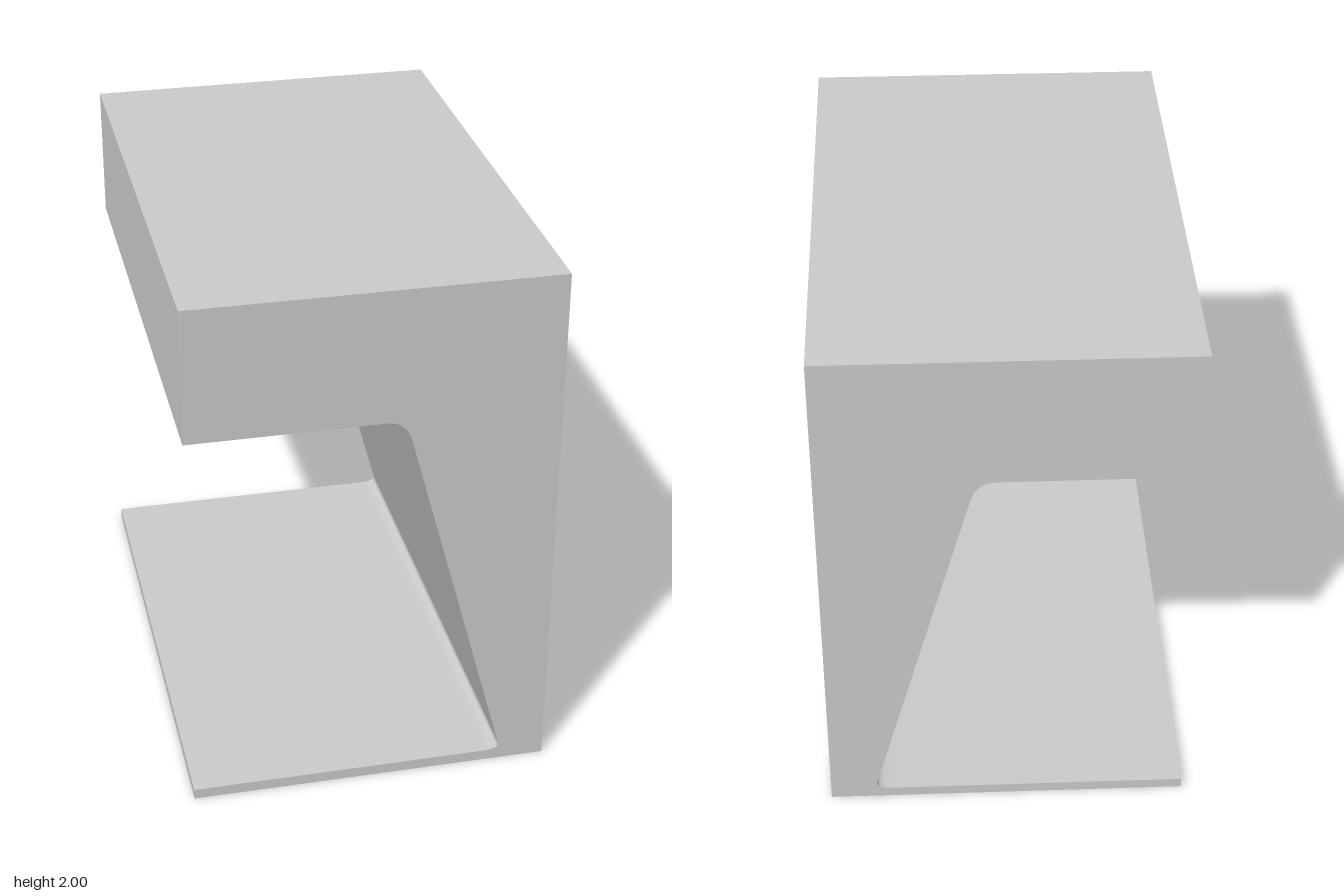
import * as THREE from 'three';
import { toCreasedNormals } from 'three/addons/utils/BufferGeometryUtils.js';

export function createModel() {
  const group = new THREE.Group();
  const halfWidth = 0.665, height = 2, depth = 2;

  // C-shaped section: thick top, tapering wall, thin base, filleted inner corners
  const section = new THREE.Shape();
  section.moveTo(-halfWidth, 0);
  section.lineTo(halfWidth, 0);
  section.lineTo(halfWidth, height);
  section.lineTo(-halfWidth, height);
  section.lineTo(-halfWidth, 1.5);
  section.lineTo(0.04, 1.5);
  section.quadraticCurveTo(0.108, 1.5, 0.13, 1.42); // upper fillet
  section.lineTo(0.487, 0.085);
  section.bezierCurveTo(0.497, 0.055, 0.497, 0.042, 0.43, 0.04); // lower fillet
  section.lineTo(-halfWidth, 0.04);
  section.closePath();

  const geometry = new THREE.ExtrudeGeometry(section, { depth, bevelEnabled: false, curveSegments: 10 });
  geometry.translate(0, 0, -depth / 2);

  const body = new THREE.Mesh(
    toCreasedNormals(geometry, Math.PI / 6),
    new THREE.MeshStandardMaterial({ color: 0xcccccc })
  );
  body.name = 'channelBody';
  group.add(body);
  return group;
}
